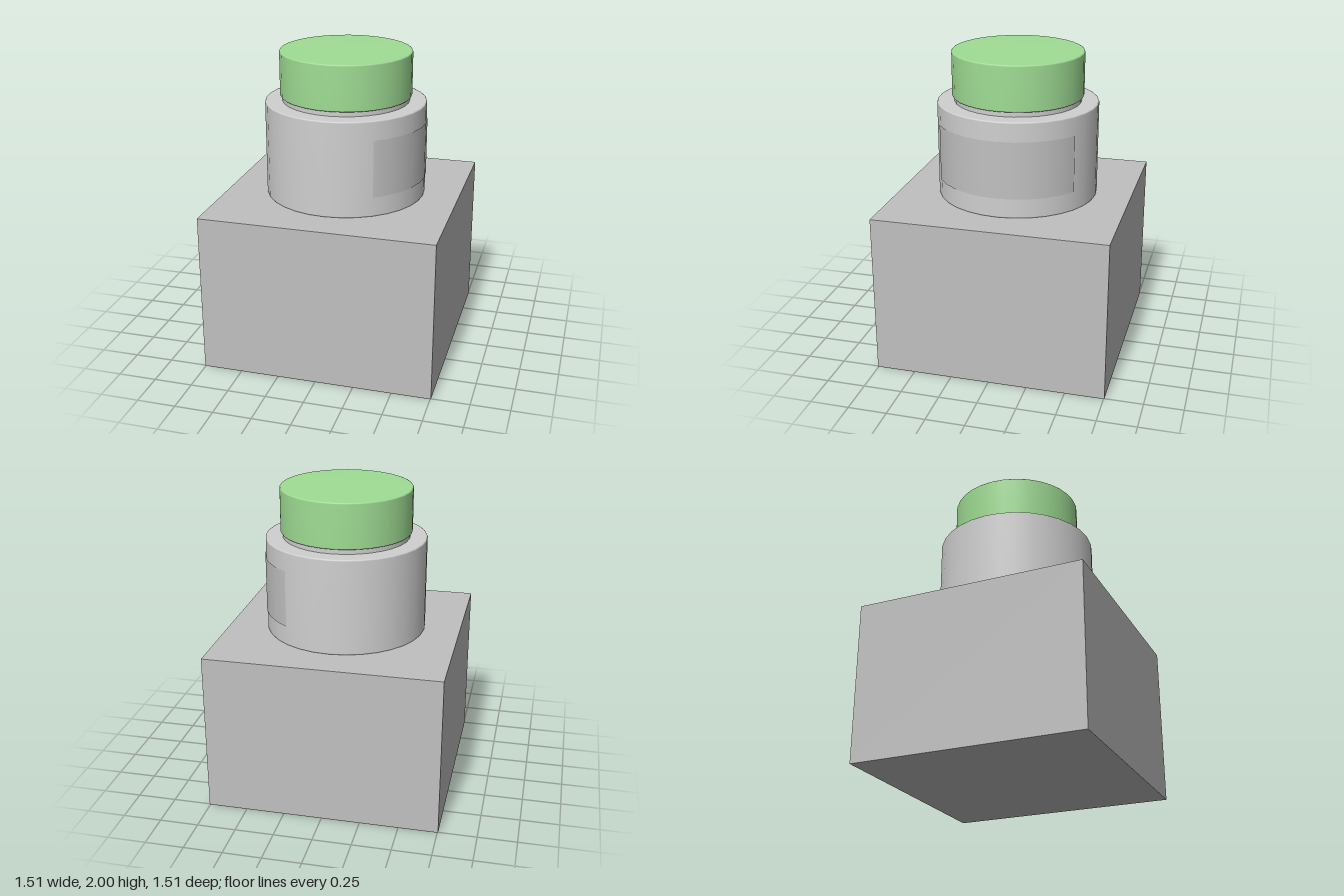
import * as THREE from 'three';

const SIDES = 32;

// Closed turned solid with small rounded rims at bottom and top
function turned(name, radius, bottom, top, bevel, material) {
  const points = [new THREE.Vector2(0, bottom)];
  const steps = 2;
  for (let i = 0; i <= steps; i++) {
    const a = (i / steps) * Math.PI / 2;
    points.push(new THREE.Vector2(radius - bevel * (1 - Math.sin(a)), bottom + bevel * (1 - Math.cos(a))));
  }
  for (let i = 0; i <= steps; i++) {
    const a = (i / steps) * Math.PI / 2;
    points.push(new THREE.Vector2(radius - bevel * (1 - Math.cos(a)), top - bevel * (1 - Math.sin(a))));
  }
  points.push(new THREE.Vector2(0, top));
  const mesh = new THREE.Mesh(new THREE.LatheGeometry(points, SIDES), material);
  mesh.name = name;
  return mesh;
}

export function createModel() {
  const stone = new THREE.MeshStandardMaterial({ color: 0xc0c0c0 });
  stone.name = 'grey pedestal';
  const pale = new THREE.MeshStandardMaterial({ color: 0xd0d0d0 });
  pale.name = 'pale grey jar';
  const labelGrey = new THREE.MeshStandardMaterial({ color: 0xc1c1c1, side: THREE.DoubleSide });
  labelGrey.name = 'grey label';
  const green = new THREE.MeshStandardMaterial({ color: 0xa0dd94 });
  green.name = 'green lid';

  const model = new THREE.Group();
  model.name = 'jarOnPedestal';

  // Square pedestal
  const pedestal = new THREE.Mesh(new THREE.BoxGeometry(1.51, 1.05, 1.51), stone);
  pedestal.name = 'pedestal';
  pedestal.position.y = 0.525;
  model.add(pedestal);

  // Jar: body, short neck and lid
  model.add(
    turned('jarBody', 0.524, 1.05, 1.675, 0.01, pale),
    turned('jarNeck', 0.413, 1.66, 1.72, 0.005, pale),
    turned('lid', 0.427, 1.705, 2.0, 0.01, green),
  );

  // Curved label on the left (+x) side, spanning ten of the body's sides
  const arc = 10 * Math.PI * 2 / SIDES;
  const label = new THREE.Mesh(
    new THREE.CylinderGeometry(0.529, 0.529, 0.37, 10, 1, true, Math.PI / 2 - arc / 2, arc),
    labelGrey,
  );
  label.name = 'label';
  label.position.y = 1.365;
  model.add(label);

  return model;
}
